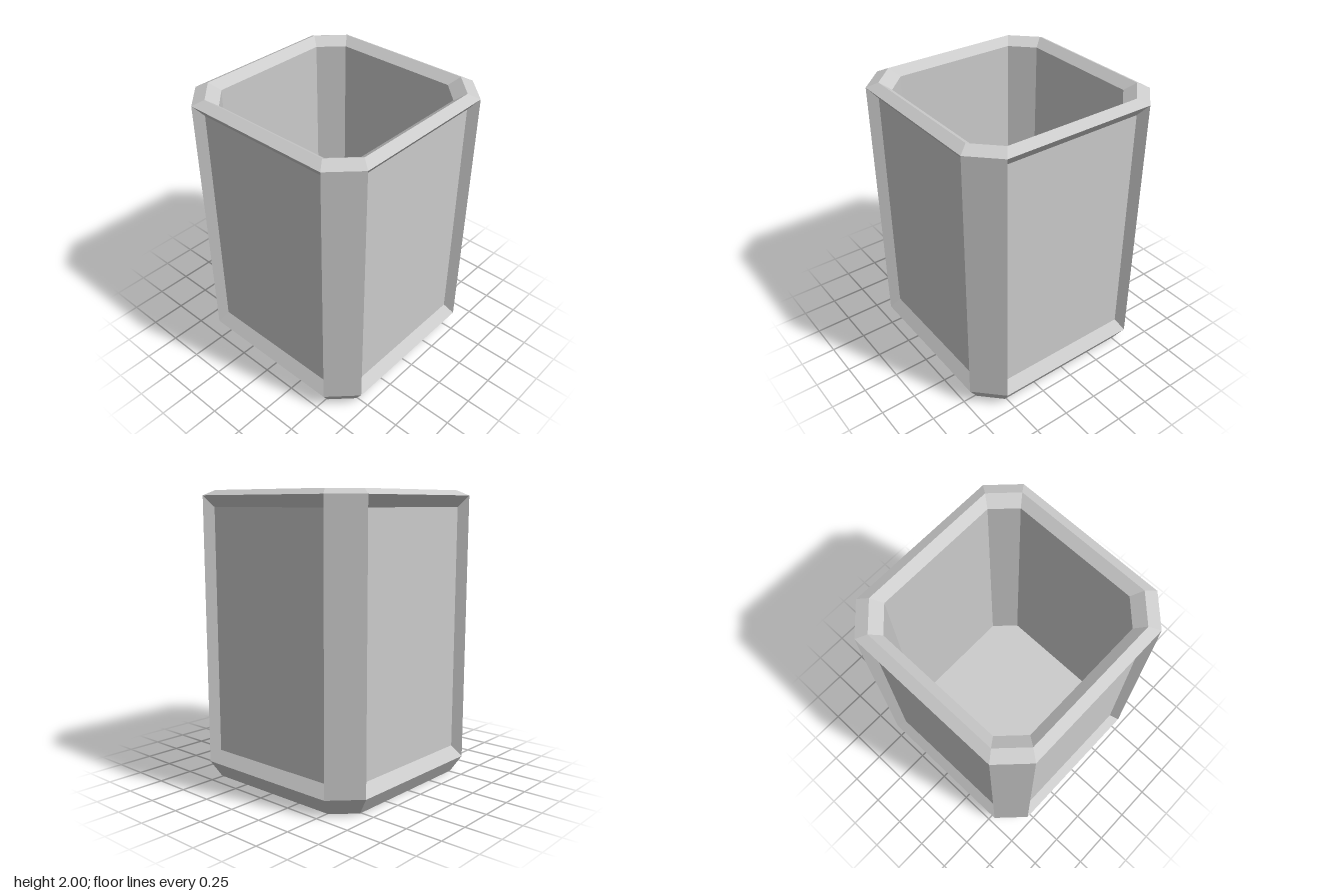
import * as THREE from 'three';

const material = new THREE.MeshStandardMaterial({ color: 0xcccccc, flatShading: true });

// Square ring with cut corners: half width a, half length of the straight sides c
function ring([a, c, y]) {
  const points = [];
  for (let k = 0; k < 4; k++) {
    for (const x of [-c, c]) {
      points.push(new THREE.Vector3(x, y, a).applyAxisAngle(new THREE.Vector3(0, 1, 0), k * Math.PI / 2));
    }
  }
  return points;
}

function quadMesh(name, quads) {
  const positions = [];
  for (const [a, b, c, d] of quads) {
    for (const p of [a, b, c, a, c, d]) positions.push(p.x, p.y, p.z);
  }
  const geometry = new THREE.BufferGeometry();
  geometry.setAttribute('position', new THREE.Float32BufferAttribute(positions, 3));
  geometry.computeVertexNormals();
  const mesh = new THREE.Mesh(geometry, material);
  mesh.name = name;
  return mesh;
}

// Quads joining two successive rings; only sides passing the filter are kept
function band(from, to, keep = () => true) {
  const lo = ring(from), hi = ring(to), quads = [];
  for (let i = 0; i < 8; i++) {
    const j = (i + 1) % 8;
    if (keep(i)) quads.push([lo[i], lo[j], hi[j], hi[i]]);
  }
  return quads;
}

function plate(name, a, c, y, facing) {
  const outline = ring([a, c, 0]).map(p => new THREE.Vector2(p.x, p.z));
  const geometry = new THREE.ShapeGeometry(new THREE.Shape(outline));
  geometry.rotateX(-facing * Math.PI / 2);
  const mesh = new THREE.Mesh(geometry, material);
  mesh.position.y = y;
  mesh.name = name;
  return mesh;
}

export function createModel() {
  const group = new THREE.Group();
  group.name = 'container';

  // Profile rings, from the underside around the outside to the inner floor
  const under = [0.58, 0.45, 0.06];
  const foot = [0.65, 0.51, 0];
  const base = [0.725, 0.543, 0.12];
  const shoulder = [0.725, 0.543, 1.965];
  const ridge = [0.657, 0.493, 2];
  const lip = [0.59, 0.443, 1.95];
  const floor = [0.59, 0.443, 0.12];

  group.add(quadMesh('foot', [...band(under, foot), ...band(foot, base)]));
  group.add(quadMesh('cornerColumns', band(base, shoulder, i => i % 2 === 1)));
  group.add(quadMesh('rim', [...band(shoulder, ridge), ...band(ridge, lip)]));
  group.add(quadMesh('innerWall', band(lip, floor)));
  group.add(plate('underside', under[0], under[1], under[2], -1));
  group.add(plate('innerFloor', floor[0], floor[1], floor[2], 1));

  // Recessed side panels with a sloping border
  const rect = (x, y0, y1, z) => [[-x, y0], [x, y0], [x, y1], [-x, y1]]
    .map(([px, py]) => new THREE.Vector3(px, py, z));
  const outer = rect(0.543, 0.12, 1.965, 0.725);
  const inner = rect(0.5, 0.197, 1.888, 0.662);
  const quads = [inner];
  for (let i = 0; i < 4; i++) {
    const j = (i + 1) % 4;
    quads.push([outer[i], outer[j], inner[j], inner[i]]);
  }
  ['frontPanel', 'leftPanel', 'backPanel', 'rightPanel'].forEach((name, k) => {
    const panel = quadMesh(name, quads);
    panel.rotation.y = k * Math.PI / 2;
    group.add(panel);
  });

  return group;
}
